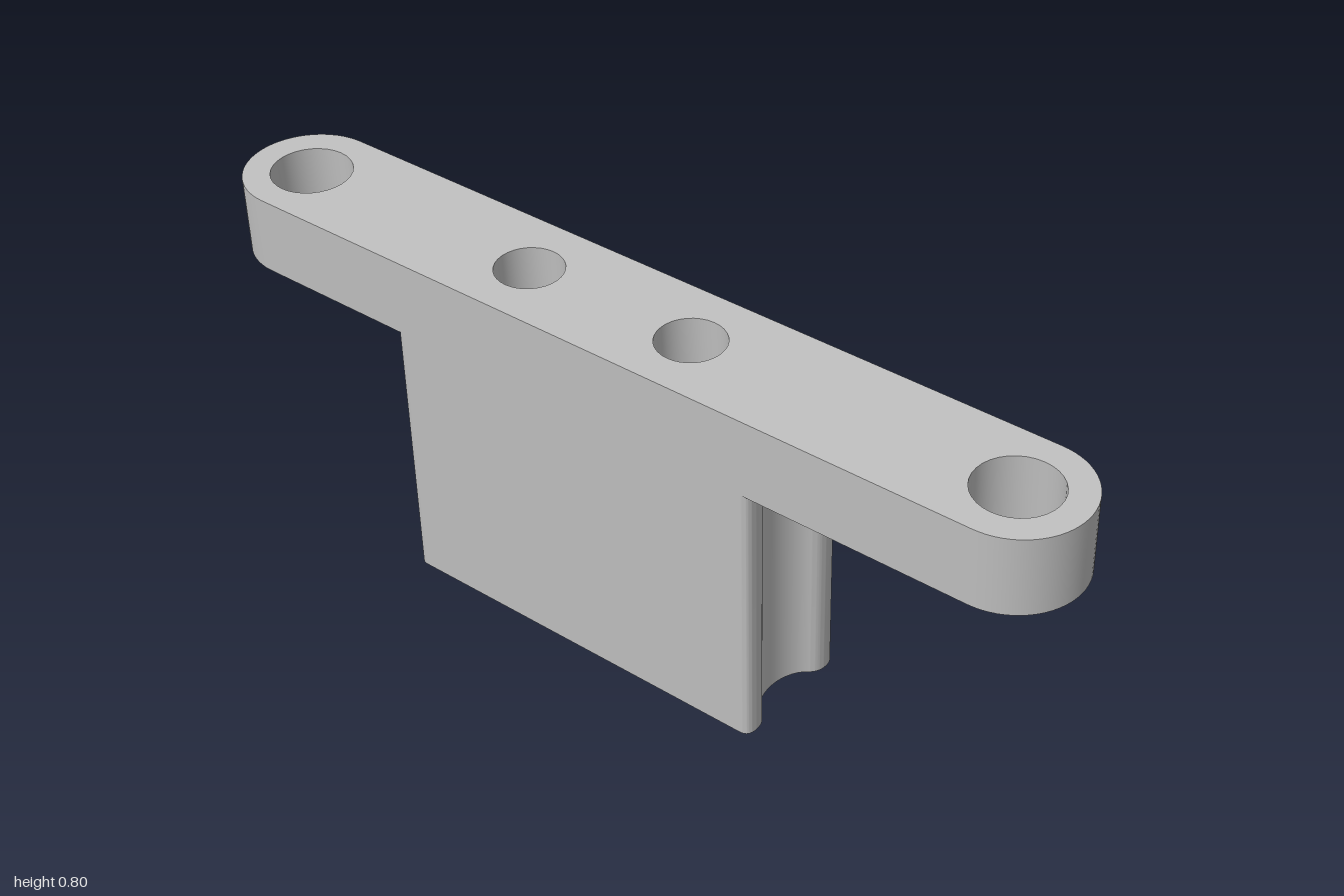
import * as THREE from 'three';
import { toCreasedNormals } from 'three/addons/utils/BufferGeometryUtils.js';

const HALF = 0.145;      // half width of bar and block
const SPAN = 0.8675;     // end hole distance from the middle
const THICK = 0.172;     // bar thickness
const TOTAL = 0.783;     // bar top to block bottom
const BLOCK_X = -0.0625; // block centre along the bar
const BLOCK_HALF = 0.4475;

const metal = new THREE.MeshStandardMaterial({ color: 0xc0c0c0 });
metal.name = 'grey';

function addHole(shape, x, r) {
  const hole = new THREE.Path();
  hole.absarc(x, 0, r, 0, Math.PI * 2, true);
  shape.holes.push(hole);
}

// Extrude a plan shape downwards from height y
function plate(name, shape, y, depth) {
  const raw = new THREE.ExtrudeGeometry(shape, { depth, bevelEnabled: false, curveSegments: 16 });
  raw.rotateX(Math.PI / 2);
  const mesh = new THREE.Mesh(toCreasedNormals(raw, 0.6), metal);
  mesh.name = name;
  mesh.position.y = y;
  return mesh;
}

export function createModel() {
  const smallHoles = [BLOCK_X - 0.2025, BLOCK_X + 0.2025];

  // Bar with round ends and four holes
  const bar = new THREE.Shape();
  bar.absarc(SPAN, 0, HALF, -Math.PI / 2, Math.PI / 2, false);
  bar.absarc(-SPAN, 0, HALF, Math.PI / 2, Math.PI * 1.5, false);
  bar.closePath();
  [-SPAN, SPAN].forEach((x) => addHole(bar, x, 0.087));
  smallHoles.forEach((x) => addHole(bar, x, 0.072));

  // Block whose ends have rounded lips and a shallow groove
  const block = new THREE.Shape();
  const end = (s) => {
    const p = (inset, v) => [BLOCK_X + s * (BLOCK_HALF - inset), s * v];
    block.lineTo(...p(0.022, -HALF));
    block.quadraticCurveTo(...p(0, -HALF), ...p(0, -0.117));
    block.quadraticCurveTo(...p(0, -0.092), ...p(0.018, -0.08));
    block.bezierCurveTo(...p(0.065, -0.045), ...p(0.065, 0.045), ...p(0.018, 0.08));
    block.quadraticCurveTo(...p(0, 0.092), ...p(0, 0.117));
    block.quadraticCurveTo(...p(0, HALF), ...p(0.022, HALF));
  };
  block.moveTo(BLOCK_X, -HALF);
  end(1);
  end(-1);
  block.closePath();
  smallHoles.forEach((x) => addHole(block, x, 0.072));

  // Whole bracket sits slightly turned and tilted
  const bracket = new THREE.Group();
  bracket.name = 'bracket';
  bracket.add(plate('bar', bar, 0, THICK), plate('block', block, -THICK, TOTAL - THICK));
  bracket.rotation.set(0.0436, 0.171, 0.0026, 'YZX');
  bracket.position.set(0, 0.791, 0.0045);

  const model = new THREE.Group();
  model.name = 'mountingBracket';
  model.add(bracket);
  return model;
}
